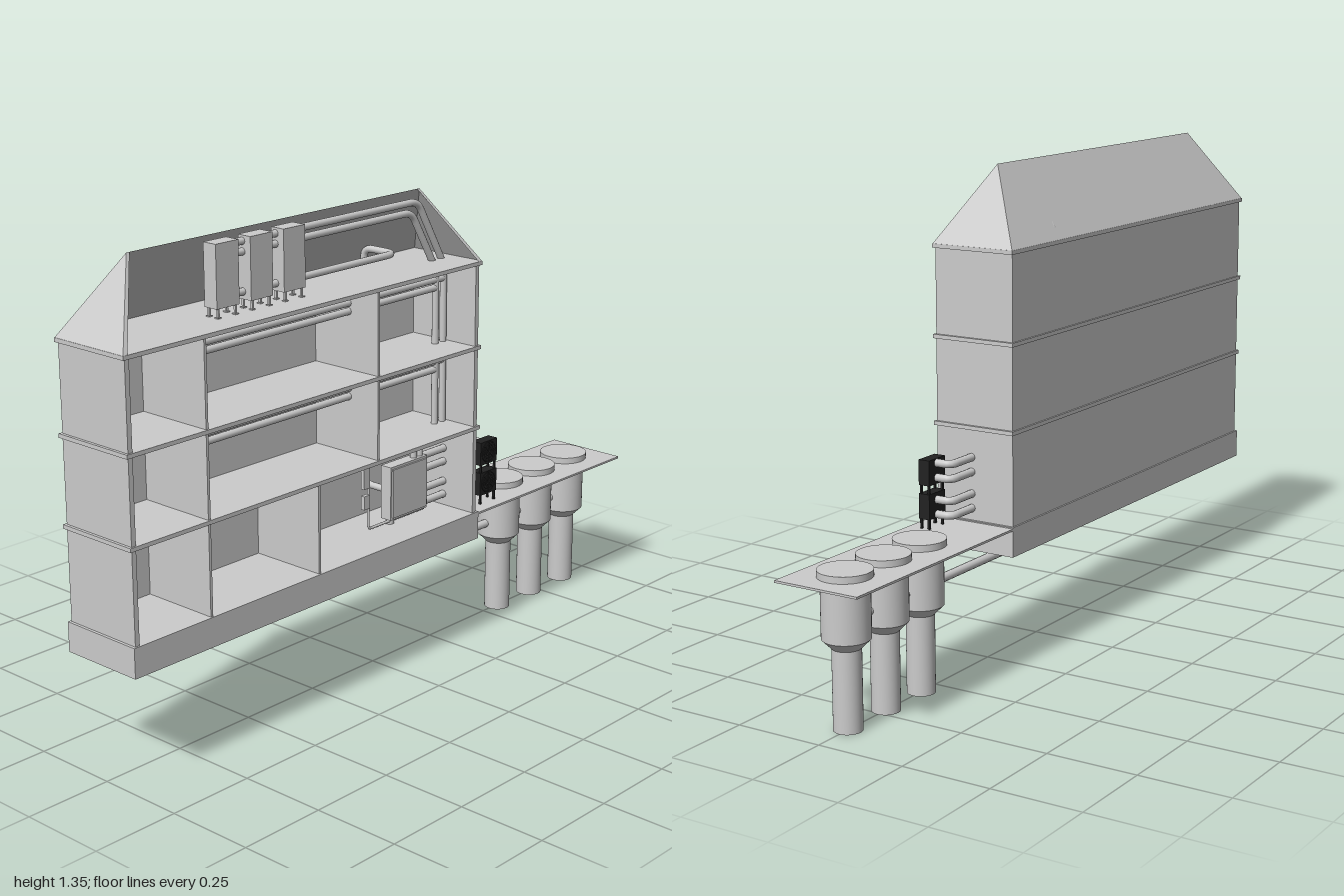
import * as THREE from 'three';

const grey = new THREE.MeshStandardMaterial({ color: 0xcccccc });
const sheet = new THREE.MeshStandardMaterial({ color: 0xcccccc, side: THREE.DoubleSide });
const dark = new THREE.MeshStandardMaterial({ color: 0x222222 });

function add(parent, name, geometry, material = grey) {
  const mesh = new THREE.Mesh(geometry, material);
  mesh.name = name;
  parent.add(mesh);
  return mesh;
}

// Box given by its minimum and maximum along each axis
function box(parent, name, x0, x1, y0, y1, z0, z1, material = grey) {
  const mesh = add(parent, name, new THREE.BoxGeometry(x1 - x0, y1 - y0, z1 - z0), material);
  mesh.position.set((x0 + x1) / 2, (y0 + y1) / 2, (z0 + z1) / 2);
  return mesh;
}

// Flat convex panel from its corners
function panel(parent, name, corners) {
  const g = new THREE.BufferGeometry();
  g.setAttribute('position', new THREE.Float32BufferAttribute(corners.flat(), 3));
  const index = [];
  for (let i = 1; i < corners.length - 1; i++) index.push(0, i, i + 1);
  g.setIndex(index);
  g.computeVertexNormals();
  return add(parent, name, g, sheet);
}

// Pipe along straight runs joined by rounded elbows
function pipe(parent, name, points, radius = 0.01, bend = 0.03) {
  const p = points.map((a) => new THREE.Vector3(...a));
  const path = new THREE.CurvePath();
  let start = p[0];
  for (let i = 1; i < p.length - 1; i++) {
    const before = p[i - 1].clone().sub(p[i]);
    const after = p[i + 1].clone().sub(p[i]);
    const r = Math.min(bend, before.length() * 0.45, after.length() * 0.45);
    const a = p[i].clone().add(before.setLength(r));
    const b = p[i].clone().add(after.setLength(r));
    path.add(new THREE.LineCurve3(start, a));
    path.add(new THREE.QuadraticBezierCurve3(a, p[i], b));
    start = b;
  }
  path.add(new THREE.LineCurve3(start, p[p.length - 1]));
  const segments = Math.max(2, Math.ceil(path.getLength() / 0.01));
  return add(parent, name, new THREE.TubeGeometry(path, segments, radius, 12), sheet);
}

function buildHouse() {
  const house = new THREE.Group();
  house.name = 'house';
  const L = -1, R = 0.315, D = 0.125;

  // Hollow plinth, open underneath
  box(house, 'plinthFront', L, R, 0.32, 0.4, D - 0.008, D);
  box(house, 'plinthBack', L, R, 0.32, 0.4, -D, -D + 0.008);
  box(house, 'plinthLeftEnd', R - 0.015, R, 0.32, 0.4, -D, D);
  box(house, 'plinthRightEnd', L, L + 0.015, 0.32, 0.4, -D, D);

  // Floors, showing outside as thin bands
  for (const y of [0.397, 0.657, 0.893, 1.135]) box(house, 'floor', L, R, y - 0.006, y + 0.005, -D, D);

  // Outer walls, open at the front
  box(house, 'backWall', L + 0.008, R - 0.008, 0.4, 1.135, -0.12, -0.108);
  box(house, 'rightWall', L + 0.008, L + 0.022, 0.4, 1.135, -0.12, 0.12);
  box(house, 'leftWall', R - 0.022, R - 0.008, 0.4, 1.135, -0.12, 0.12);

  // Room partitions: x, bottom, top
  for (const [x, y0, y1] of [[-0.735, 0.4, 1.135], [-0.34, 0.4, 0.657], [-0.108, 0.657, 1.135]]) {
    box(house, 'partition', x - 0.004, x + 0.004, y0, y1, -0.11, 0.12);
  }

  // Hipped roof with the front slope cut away
  const y = 1.138, top = 1.345, a = [-0.87, top, 0], b = [0.19, top, 0];
  panel(house, 'backRoof', [[R, y, -D], [L, y, -D], a, b]);
  panel(house, 'rightHip', [[L, y, -D], [L, y, D], a]);
  panel(house, 'leftHip', [[R, y, D], [R, y, -D], b]);
  panel(house, 'rightRoofEdge', [[L, y, D], [L + 0.014, y, D], [a[0] + 0.01, top, 0], a]);
  panel(house, 'leftRoofEdge', [[R - 0.014, y, D], [R, y, D], b, [b[0] - 0.01, top, 0]]);
  return house;
}

// Tall attic units standing on short legs
function buildAtticUnits() {
  const units = new THREE.Group();
  units.name = 'atticUnits';
  for (const x of [-0.582, -0.463, -0.345]) {
    box(units, 'unitCabinet', x - 0.039, x + 0.039, 1.165, 1.33, 0, 0.044);
    for (const dx of [-0.03, 0.03]) for (const z of [0.006, 0.038]) {
      box(units, 'unitLeg', x + dx - 0.003, x + dx + 0.003, 1.138, 1.167, z - 0.003, z + 0.003);
      box(units, 'unitFoot', x + dx - 0.006, x + dx + 0.006, 1.138, 1.143, z - 0.006, z + 0.006);
    }
  }
  return units;
}

function buildPipes() {
  const pipes = new THREE.Group();
  pipes.name = 'pipework';
  const z = 0.015;
  // Supply and return from the attic to the plant cabinet
  pipe(pipes, 'outerRiser', [[-0.6, 1.315, z], [0.165, 1.315, z], [0.278, 1.12, z],
    [0.278, 0.615, z], [0.18, 0.615, z], [0.18, 0.57, z]]);
  pipe(pipes, 'innerRiser', [[-0.6, 1.288, z], [0.14, 1.288, z], [0.245, 1.11, z],
    [0.245, 0.64, z], [0.155, 0.64, z], [0.155, 0.57, z]]);
  // Branches through the upper floors
  for (const y of [1.082, 0.845]) {
    pipe(pipes, 'upperBranch', [[-0.735, y, z], [0.278, y, z]]);
    pipe(pipes, 'lowerBranch', [[-0.735, y - 0.023, z], [0.245, y - 0.023, z]]);
  }
  // Return riser along the back wall
  pipe(pipes, 'backRiser', [[-0.6, 1.185, z], [0.072, 1.185, z], [0.072, 1.185, -0.098],
    [0.072, 0.5, -0.098], [0.072, 0.5, 0]]);
  // Ground pipe to the tanks
  pipe(pipes, 'groundPipe', [[0.072, 0.45, 0], [0.072, 0.283, 0], [0.88, 0.283, 0]], 0.012, 0.045);
  // Pipes to the outdoor fans
  for (const y of [0.575, 0.535, 0.475, 0.435]) {
    pipe(pipes, 'fanPipe', [[0.19, y, 0.01], [0.405, y, 0.01], [0.405, y, 0.062]], 0.011, 0.025);
  }
  return pipes;
}

// Plant cabinet with door and a small wall panel beside it
function buildPlant() {
  const plant = new THREE.Group();
  plant.name = 'plantRoom';
  box(plant, 'plantCabinet', 0.04, 0.195, 0.425, 0.582, -0.005, 0.032);
  box(plant, 'plantDoor', 0.046, 0.189, 0.432, 0.575, 0.03, 0.037);
  box(plant, 'upperGauge', -0.048, -0.025, 0.535, 0.597, 0, 0.012);
  box(plant, 'lowerGauge', -0.048, -0.025, 0.475, 0.515, 0, 0.012);
  pipe(plant, 'drainPipe', [[-0.024, 0.59, 0.005], [-0.024, 0.412, 0.005], [0.21, 0.412, 0.005]], 0.004, 0.01);
  return plant;
}

// Two stacked outdoor fans with grilles
function buildFans() {
  const fans = new THREE.Group();
  fans.name = 'outdoorFans';
  const x0 = 0.367, x1 = 0.441, xm = (x0 + x1) / 2;
  for (const y of [0.426, 0.518]) {
    box(fans, 'fanCasing', x0, x1, y, y + 0.069, 0.055, 0.088, dark);
    for (const r of [0.012, 0.021, 0.03]) {
      add(fans, 'fanGrille', new THREE.TorusGeometry(r, 0.0015, 6, 28), dark).position.set(xm, y + 0.035, 0.088);
    }
    for (let i = 0; i < 4; i++) {
      const spoke = add(fans, 'grilleSpoke', new THREE.BoxGeometry(0.06, 0.002, 0.002), dark);
      spoke.position.set(xm, y + 0.035, 0.089);
      spoke.rotation.z = i * Math.PI / 4;
    }
  }
  for (const x of [x0 + 0.006, x1 - 0.006]) for (const z of [0.06, 0.084]) {
    box(fans, 'fanLeg', x - 0.003, x + 0.003, 0.398, 0.52, z - 0.003, z + 0.003, dark);
  }
  return fans;
}

// Ground sheet with three buried, lidded tanks
function buildTanks() {
  const tanks = new THREE.Group();
  tanks.name = 'groundTanks';
  box(tanks, 'groundSheet', 0.31, 1, 0.393, 0.399, -0.125, 0.125);
  const profile = [[0, 0], [0.038, 0], [0.038, 0.215], [0.063, 0.24], [0.063, 0.4],
    [0.071, 0.4], [0.071, 0.418], [0, 0.418]];
  for (const x of [0.565, 0.721, 0.88]) {
    const tank = new THREE.Group();
    tank.name = 'tank';
    tank.position.x = x;
    // Each profile step is lathed alone so its edges stay sharp
    for (let i = 0; i < profile.length - 1; i++) {
      const step = [profile[i], profile[i + 1]].map(([r, y]) => new THREE.Vector2(r, y));
      add(tank, 'tankShell', new THREE.LatheGeometry(step, 40), sheet);
    }
    tanks.add(tank);
  }
  return tanks;
}

export function createModel() {
  const model = new THREE.Group();
  model.name = 'cutawayHouse';
  model.add(buildHouse(), buildAtticUnits(), buildPipes(), buildPlant(), buildFans(), buildTanks());
  return model;
}
